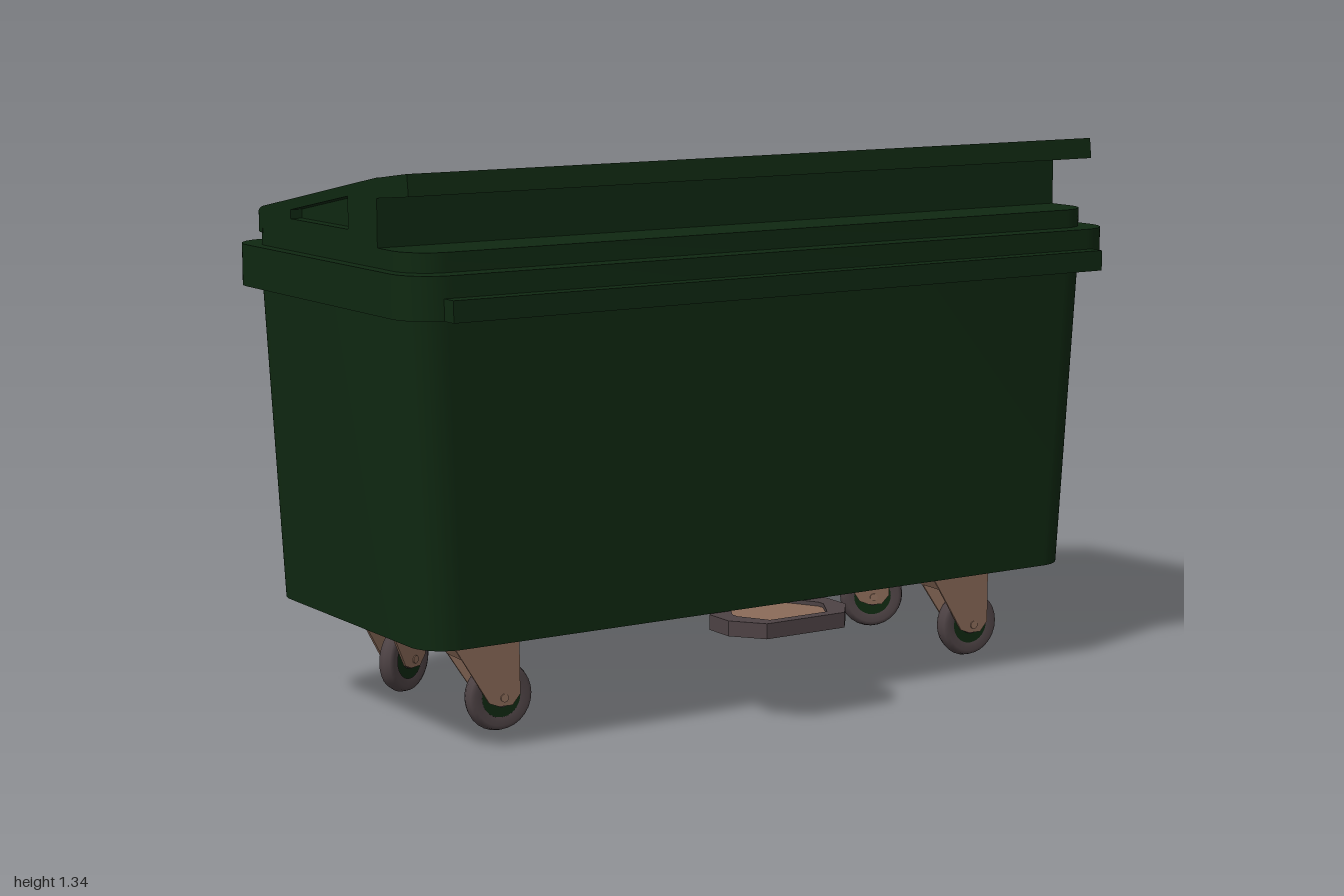
import * as THREE from 'three';
import { toCreasedNormals } from 'three/addons/utils/BufferGeometryUtils.js';

const material = (name, color) => Object.assign(new THREE.MeshStandardMaterial({ color }), { name });

// Rounded rectangle on the ground plan; rf and rb are front and back corner radii
function planShape(x0, x1, zBack, zFront, rb = 0, rf = rb) {
  const s = new THREE.Shape(), f = -zFront, b = -zBack, h = Math.PI / 2;
  if (rf) s.absarc(x1 - rf, f + rf, rf, -h, 0); else { s.moveTo(x0, f); s.lineTo(x1, f); }
  if (rb) {
    s.absarc(x1 - rb, b - rb, rb, 0, h);
    s.absarc(x0 + rb, b - rb, rb, h, 2 * h);
  } else { s.lineTo(x1, b); s.lineTo(x0, b); }
  if (rf) s.absarc(x0 + rf, f + rf, rf, 2 * h, 3 * h);
  s.closePath();
  return s;
}

// Upright slab over a plan; bottom and top heights may depend on z
function slab(shape, bottom, top) {
  const g = new THREE.ExtrudeGeometry(shape, { depth: 1, bevelEnabled: false, curveSegments: 8 });
  g.rotateX(-Math.PI / 2);
  const p = g.attributes.position;
  const at = (v, z) => (typeof v === 'function' ? v(z) : v);
  for (let i = 0; i < p.count; i++) p.setY(i, at(p.getY(i) > 0.5 ? top : bottom, p.getZ(i)));
  return toCreasedNormals(g, 0.6);
}

const polygon = (points) => new THREE.Shape(points.map(([a, b]) => new THREE.Vector2(a, b)));

// Side profile given as (z, y), extruded from x0 to x1
function profile(shape, x0, x1) {
  const g = new THREE.ExtrudeGeometry(shape, { depth: x1 - x0, bevelEnabled: false });
  g.rotateY(-Math.PI / 2);
  g.translate(x1, 0, 0);
  return toCreasedNormals(g, 0.7);
}

export function createModel() {
  const model = new THREE.Group();
  const green = material('dark green plastic', 0x0f2811);
  const tan = material('brown metal', 0x8b6b59);
  const grey = material('dark grey rubber', 0x4d4244);

  const add = (parent, name, geometry, mat) => {
    const m = new THREE.Mesh(geometry, mat);
    m.name = name;
    parent.add(m);
    return m;
  };

  // Tapered container
  const body = slab(planShape(-0.97, 0.97, -0.435, 0.38, 0.09), 0.26, 1.03);
  const bp = body.attributes.position;
  for (let i = 0; i < bp.count; i++) {
    if (bp.getY(i) < 0.5) {
      bp.setX(i, bp.getX(i) * 0.959);
      bp.setZ(i, -0.03 + (bp.getZ(i) + 0.0275) * 0.957);
    }
  }
  body.computeVertexNormals();
  add(model, 'container', toCreasedNormals(body, 0.6), green);

  // Rim, front grip and shoulder
  add(model, 'rim', slab(planShape(-1, 1, -0.49, 0.435, 0.1), 1.02, 1.12), green);
  add(model, 'frontGrip', slab(planShape(-0.92, 0.92, 0.42, 0.475), 1.02, 1.07), green);
  add(model, 'shoulder', slab(planShape(-0.97, 0.97, -0.435, 0.38, 0.09), 1.11, 1.165), green);

  // Sloping lid with four sunken panels
  const lid = new THREE.Group();
  lid.name = 'lid';
  model.add(lid);
  const roof = (z) => 1.32 - 0.188 * (0.21 - z);
  const floor = (z) => roof(z) - 0.025;
  add(lid, 'lidCore', slab(planShape(-0.94, 0.94, -0.36, 0.22), 1.16, floor), green);
  const top = planShape(-0.94, 0.94, -0.36, 0.22);
  for (const x of [-0.65, -0.22, 0.21, 0.64]) {
    top.holes.push(planShape(x - 0.11, x + 0.11, -0.355, 0.212));
  }
  add(lid, 'lidTop', slab(top, floor, roof), green);

  // Lid ends with a wedge-shaped recess
  for (const side of [-1, 1]) {
    const end = polygon([[-0.36, 1.16], [0.22, 1.16], [0.22, roof(0.22)], [-0.36, roof(-0.36)]]);
    end.holes.push(polygon([[-0.21, 1.195], [0.08, 1.195], [0.08, 1.27], [-0.21, 1.216]]));
    const x = side * 0.955;
    add(lid, side > 0 ? 'leftLidEnd' : 'rightLidEnd', profile(end, x - 0.015, x + 0.015), green);
  }

  // Front lip, rounded rear edge and hinge roll
  const lip = polygon([[0.21, 1.275], [0.368, 1.29], [0.362, 1.34], [0.21, 1.32]]);
  add(lid, 'lidLip', profile(lip, -0.97, 0.97), green);
  const rearTop = (z) => roof(-0.36) + (z + 0.36) * 0.4;
  add(lid, 'lidRear', slab(planShape(-0.97, 0.97, -0.44, -0.36, 0.078, 0), 1.15, rearTop), green);
  const roll = polygon([[-0.42, 1.11], [-0.487, 1.11], [-0.505, 1.155], [-0.505, 1.175],
    [-0.492, 1.192], [-0.47, 1.2], [-0.448, 1.196], [-0.43, 1.18]]);
  add(lid, 'hingeRoll', profile(roll, -0.89, 0.89), green);

  // Foot pedal: octagonal frame around a thinner plate
  const octagon = (w, front, back) => [[-w, front - 0.075], [-w * 0.66, front], [w * 0.66, front],
    [w, front - 0.075], [w, back + 0.075], [w * 0.66, back], [-w * 0.66, back], [-w, back + 0.075]]
    .map(([x, z]) => [x, -z]);
  const frame = polygon(octagon(0.17, 0.51, 0.28));
  frame.holes.push(polygon(octagon(0.125, 0.48, 0.31)));
  add(model, 'pedalFrame', slab(frame, 0.22, 0.257), grey);
  add(model, 'pedalPlate', slab(polygon(octagon(0.126, 0.481, 0.309)), 0.23, 0.247), tan);

  // Casters: fork, crown and wheel, trailing toward +x
  const tyre = new THREE.LatheGeometry([[0.05, -0.018], [0.07, -0.022], [0.08, -0.016], [0.085, 0],
    [0.08, 0.016], [0.07, 0.022], [0.05, 0.018]].map(([r, y]) => new THREE.Vector2(r, y)), 28);
  tyre.rotateX(Math.PI / 2);
  const disc = (r, w) => new THREE.CylinderGeometry(r, r, w, 24).rotateX(Math.PI / 2);
  const legShape = polygon([[-0.1, 0.262], [0.02, 0.075], [0.045, 0.065], [0.08, 0.065],
    [0.1, 0.09], [0.092, 0.262]]);
  const crownShape = polygon([[-0.1, 0.262], [-0.055, 0.19], [0.093, 0.19], [0.09, 0.262]]);

  function caster(name, x, z, turn) {
    const g = new THREE.Group();
    g.name = name;
    g.position.set(x, 0, z);
    g.rotation.y = turn;
    for (const s of [-1, 1]) {
      const leg = new THREE.ExtrudeGeometry(legShape, { depth: 0.006, bevelEnabled: false });
      const p = leg.attributes.position;
      for (let i = 0; i < p.count; i++) {
        p.setZ(i, p.getZ(i) - 0.003 + s * (0.03 + (p.getY(i) - 0.07) * 0.07));
      }
      leg.computeVertexNormals();
      add(g, 'forkLeg', leg, tan);
    }
    const crown = new THREE.ExtrudeGeometry(crownShape, { depth: 0.08, bevelEnabled: false });
    add(g, 'forkCrown', crown.translate(0, 0, -0.04), tan);
    const wheel = new THREE.Group();
    wheel.name = 'wheel';
    wheel.position.set(0.058, 0.085, 0);
    g.add(wheel);
    add(wheel, 'tyre', tyre, grey);
    add(wheel, 'wheelDisc', disc(0.055, 0.03), green);
    add(wheel, 'hub', disc(0.025, 0.046), grey);
    add(wheel, 'axle', disc(0.01, 0.075), tan);
    model.add(g);
  }
  caster('frontRightCaster', -0.695, 0.155, -0.06);
  caster('frontLeftCaster', 0.7, 0.155, -0.06);
  caster('rearRightCaster', -0.695, -0.27, 0.44);
  caster('rearLeftCaster', 0.7, -0.27, -0.44);

  return model;
}
